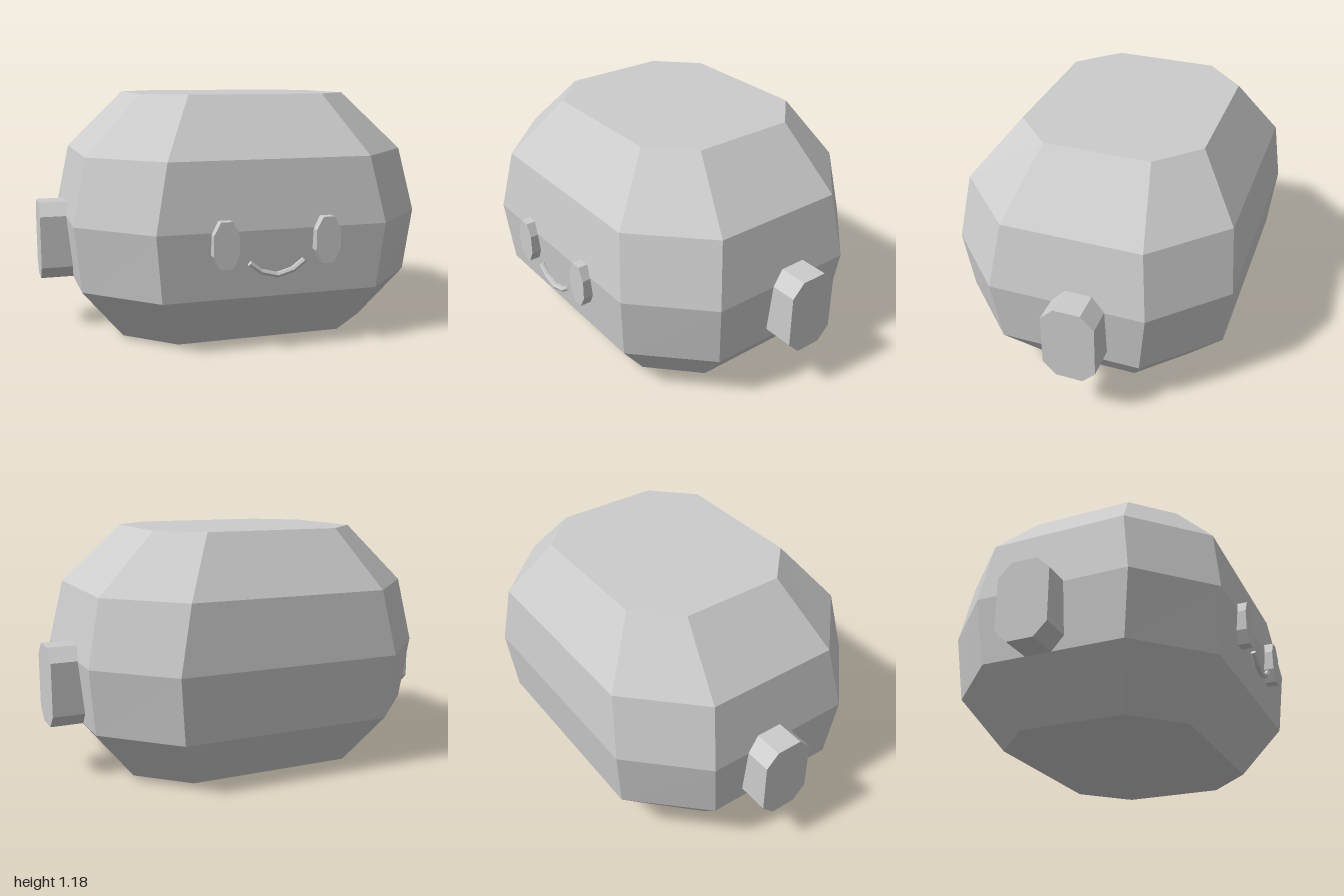
import * as THREE from 'three';

// Closed loft through rings of points; each ring runs counter-clockwise seen from the last one
function loft(rings) {
  const pos = [];
  const tri = (a, b, c) => pos.push(...a, ...b, ...c);
  const n = rings[0].length;
  for (let i = 0; i < rings.length - 1; i++) {
    for (let j = 0; j < n; j++) {
      const k = (j + 1) % n;
      const [a, b, c, d] = [rings[i][j], rings[i][k], rings[i + 1][k], rings[i + 1][j]];
      tri(a, b, c);
      tri(a, c, d);
    }
  }
  const first = rings[0], last = rings[rings.length - 1];
  for (let j = 1; j < n - 1; j++) {
    tri(first[0], first[j + 1], first[j]);
    tri(last[0], last[j], last[j + 1]);
  }
  const geo = new THREE.BufferGeometry();
  geo.setAttribute('position', new THREE.Float32BufferAttribute(pos, 3));
  geo.computeVertexNormals();
  return geo;
}

// Chamfered rectangle extruded along z, centred on its own middle
function octagonPrism(w, h, cx, cy, depth) {
  const x = w / 2, y = h / 2;
  const corners = [
    [x - cx, -y], [x, -y + cy], [x, y - cy], [x - cx, y],
    [-x + cx, y], [-x, y - cy], [-x, -y + cy], [-x + cx, -y],
  ];
  const shape = new THREE.Shape(corners.map(([u, v]) => new THREE.Vector2(u, v)));
  return new THREE.ExtrudeGeometry(shape, { depth, bevelEnabled: false }).translate(0, 0, -depth / 2);
}

export function createModel() {
  const model = new THREE.Group();
  model.name = 'head';
  const grey = new THREE.MeshStandardMaterial({ color: 0xcccccc, flatShading: true });
  grey.name = 'light grey';

  const add = (name, geometry, x = 0, y = 0, z = 0) => {
    const mesh = new THREE.Mesh(geometry, grey);
    mesh.name = name;
    mesh.position.set(x, y, z);
    model.add(mesh);
    return mesh;
  };

  // Skull levels: y, half width, corner x, front z, front corner z, back z, back corner z
  const levels = [
    [0, 0.635, 0.41, 0.46, 0.24, -0.49, -0.27],
    [0.255, 0.84, 0.525, 0.645, 0.33, -0.68, -0.36],
    [0.573, 0.873, 0.555, 0.675, 0.36, -0.713, -0.395],
    [0.89, 0.808, 0.49, 0.628, 0.31, -0.68, -0.362],
    [1.176, 0.525, 0.335, 0.397, 0.208, -0.492, -0.302],
  ];
  add('skull', loft(levels.map(([y, w, c, f, fc, b, bc]) => [
    [c, y, f], [w, y, fc], [w, y, bc], [c, y, b],
    [-c, y, b], [-w, y, bc], [-w, y, fc], [-c, y, f],
  ])));

  // Ears and eyes, mirrored
  for (const [side, s] of [['left', 1], ['right', -1]]) {
    const ear = add(side + 'Ear', octagonPrism(0.255, 0.385, 0.063, 0.064, 0.2), s * 0.9, 0.447, -0.079);
    ear.rotation.y = Math.PI / 2;
    add(side + 'Eye', octagonPrism(0.12, 0.216, 0.033, 0.06, 0.075), s * 0.245, 0.518, 0.677);
  }

  // Smile: a thin six-sided bar along a bent line of x, y, tilt
  const smile = [
    [-0.132, 0.428, -0.64], [-0.077, 0.387, -0.5], [0, 0.366, 0], [0.077, 0.387, 0.5], [0.132, 0.428, 0.64],
  ];
  const r = 0.014;
  add('mouth', loft(smile.map(([x, y, tilt]) => Array.from({ length: 6 }, (_, i) => {
    const a = i * Math.PI / 3;
    const up = r * Math.sin(a);
    return [x - up * Math.sin(tilt), y + up * Math.cos(tilt), 0.694 - r * Math.cos(a)];
  }))));

  return model;
}
